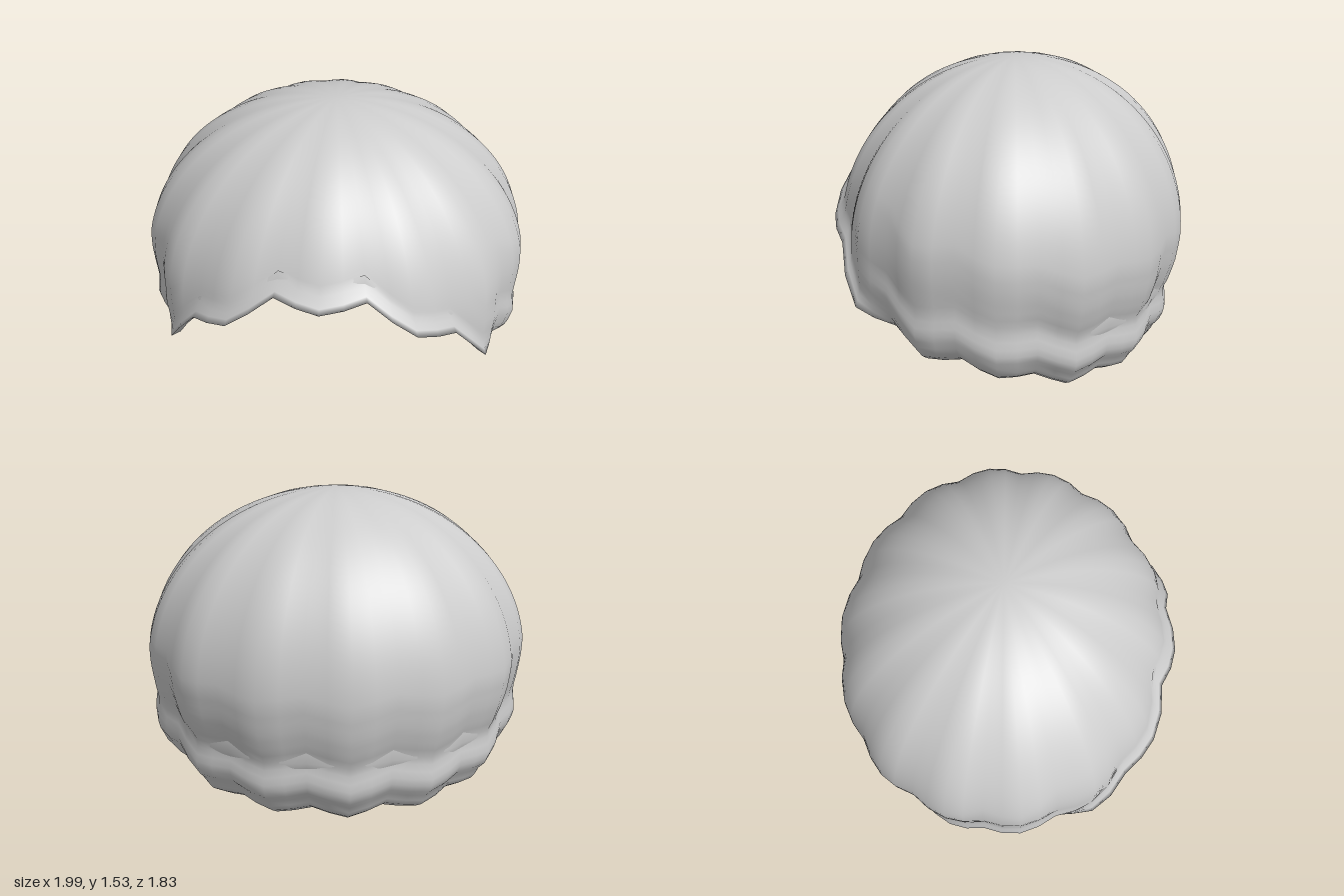
import * as THREE from 'three';
import { mergeVertices } from 'three/addons/utils/BufferGeometryUtils.js';

const { lerp, smoothstep } = THREE.MathUtils;
const LOBES = 14, COLS = LOBES * 4, ROWS = 48, LIP_ROWS = 10;
const MID = 0.65, RISE = 0.885;

// hem height at each lobe and notch, from the middle of the front to the middle of the back
const HEM = [0.88, 0.92, 0.73, 0.66, 0.4, 0.34, 0.215, 0.238, 0.148, 0.128, 0.036, 0.05, 0.01, 0.047, 0.0];

// radius factor against height above the hem
const FRONT = [[0, 1.045], [0.04, 1.02], [0.09, 1], [1, 1]];
const SIDE = [[0, 0.89], [0.05, 0.95], [0.11, 0.975], [0.18, 0.99], [0.28, 0.975], [0.4, 0.985], [0.6, 1]];
const BACK = [[0, 0.79], [0.03, 0.84], [0.07, 0.868], [0.1, 0.88], [0.14, 0.92], [0.2, 0.937], [0.26, 0.925],
  [0.32, 0.92], [0.37, 0.945], [0.48, 0.98], [0.62, 1]];

function lookup(table, x) {
  if (x <= table[0][0]) return table[0][1];
  for (let i = 1; i < table.length; i++) {
    const [x0, y0] = table[i - 1], [x1, y1] = table[i];
    if (x <= x1) return lerp(y0, y1, (x - x0) / (x1 - x0));
  }
  return table[table.length - 1][1];
}

// angle away from the middle of the front, 0 to PI
const turnOf = (a) => Math.acos(Math.cos(a));

function hemHeight(a) {
  const u = turnOf(a) / Math.PI * LOBES;
  const i = Math.min(Math.floor(u + 1e-6), LOBES - 1);
  return lerp(HEM[i], HEM[i + 1], u - i);
}

// hem roll, from a flared front edge to a tucked-under back
function hemRoll(a, d) {
  const turn = THREE.MathUtils.radToDeg(turnOf(a));
  const side = lerp(lookup(FRONT, d), lookup(SIDE, d), smoothstep(turn, 45, 75));
  return lerp(side, lookup(BACK, d), smoothstep(turn, 85, 135));
}

// rounded lobes with narrow notches between them
function ribbed(a, r, y, depth) {
  const cosPhi = Math.max(0, (y - MID) / RISE);
  const groove = 1 - Math.abs(Math.cos(a * LOBES / 2));
  const ribR = r * (1 - depth * (0.027 + 0.025 * cosPhi) * groove);
  return [1.02 * ribR * Math.sin(a), y, 0.91 * ribR * Math.cos(a)];
}

const domeRadius = (y) => y > MID ? Math.sqrt(Math.max(0, 1 - ((y - MID) / RISE) ** 2)) : 1;

// s runs from 0 at the crown to 1 at the hem
function outerPoint(a, s) {
  const hem = hemHeight(a);
  const phi = Math.acos((hem - MID) / RISE) * s;
  const y = MID + RISE * Math.cos(phi);
  const r = phi < Math.PI / 2 ? Math.sin(phi) : 1;
  return ribbed(a, r * hemRoll(a, y - hem), y, 1);
}

// folded-in lip, t runs from 0 at the hem to 1 at its upper edge
function lipPoint(a, t) {
  const hem = hemHeight(a);
  const y = lerp(hem, Math.max(0.49, hem + 0.1), t);
  const start = hemRoll(a, 0) - 0.055;
  const wall = lerp(start, 0.92, smoothstep(y - hem, 0, 0.3));
  return ribbed(a, domeRadius(y) * wall, y + 0.008, 1 - t);
}

export function createModel() {
  const group = new THREE.Group();
  group.name = 'ribbedCap';
  const paleGrey = new THREE.MeshStandardMaterial({ color: 0xcccccc, side: THREE.DoubleSide });
  paleGrey.name = 'paleGrey';

  // one skin: crown down to the hem, then folded up inside as a lip
  const pos = [], index = [], last = ROWS + LIP_ROWS;
  for (let i = 0; i <= last; i++) {
    for (let j = 0; j < COLS; j++) {
      const a = j / COLS * Math.PI * 2;
      pos.push(...(i <= ROWS ? outerPoint(a, i / ROWS) : lipPoint(a, (i - ROWS - 1) / (LIP_ROWS - 1))));
      if (i === last) continue;
      const A = i * COLS + j, B = i * COLS + (j + 1) % COLS, C = A + COLS, D = B + COLS;
      index.push(A, C, D);
      if (i > 0) index.push(A, D, B);
    }
  }
  let geo = new THREE.BufferGeometry();
  geo.setAttribute('position', new THREE.Float32BufferAttribute(pos, 3));
  geo.setIndex(index);
  geo = mergeVertices(geo, 1e-5);
  geo.computeVertexNormals();

  const cap = new THREE.Mesh(geo, paleGrey);
  cap.name = 'capShell';
  group.add(cap);
  return group;
}
